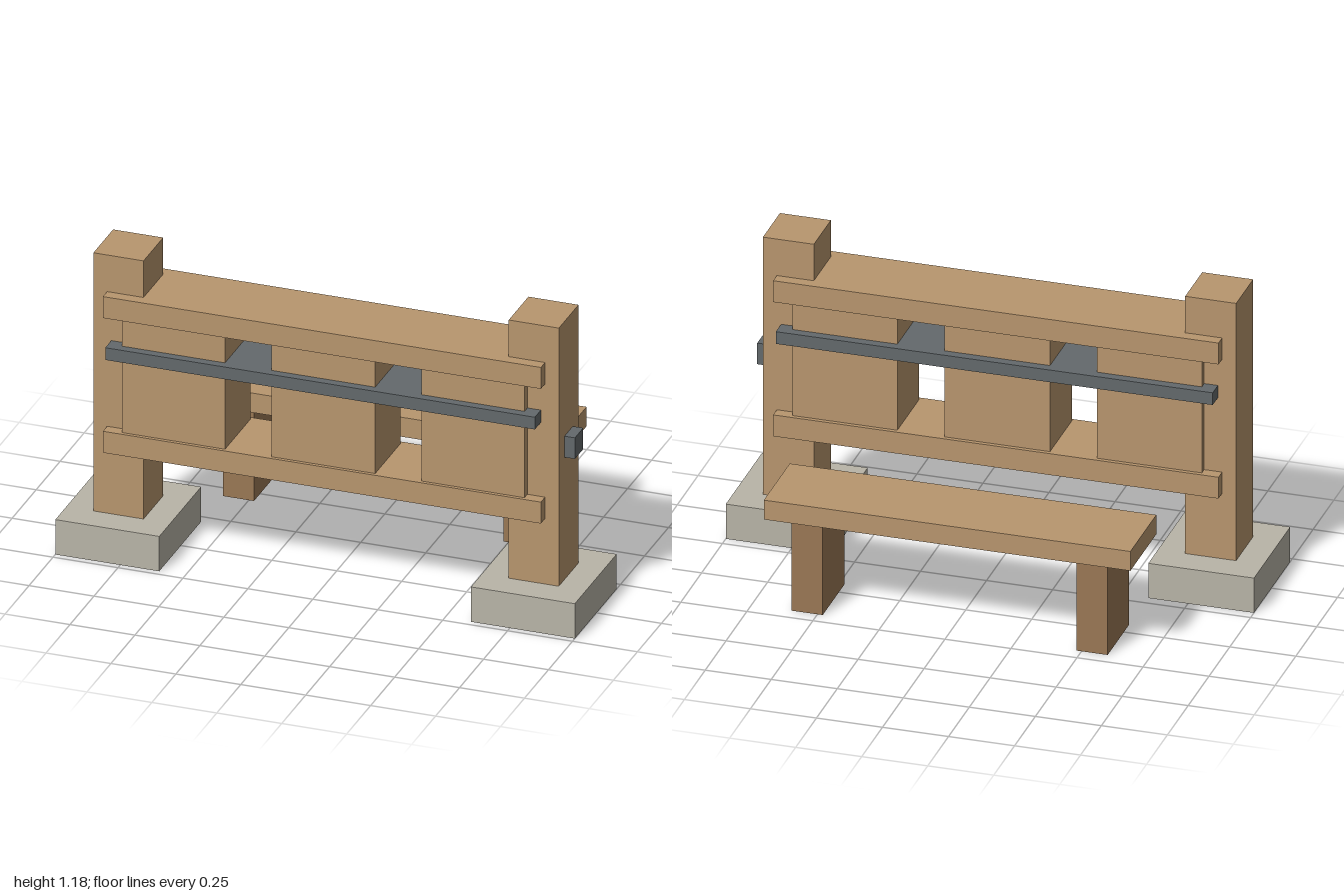
import * as THREE from 'three';

const material = (color) => new THREE.MeshStandardMaterial({ color });

export function createModel() {
  const model = new THREE.Group();
  model.name = 'stocksWithBench';

  const wood = material(0xb8966e);
  const darkWood = material(0x9a7855);
  const stone = material(0xb9b5a8);
  const iron = material(0x63696c);

  // Box given by its [min, max] extents on each axis
  const box = (name, mat, [x0, x1], [y0, y1], [z0, z1]) => {
    const mesh = new THREE.Mesh(new THREE.BoxGeometry(x1 - x0, y1 - y0, z1 - z0), mat);
    mesh.position.set((x0 + x1) / 2, (y0 + y1) / 2, (z0 + z1) / 2);
    mesh.name = name;
    model.add(mesh);
  };

  // Box repeated on both sides of x = 0
  const pair = (name, mat, [x0, x1], y, z) => {
    box(name + 'Left', mat, [x0, x1], y, z);
    box(name + 'Right', mat, [-x1, -x0], y, z);
  };

  // Stone footings and upright posts
  pair('footing', stone, [0.6, 1], [0, 0.14], [0.04, 0.476]);
  pair('post', wood, [0.703, 0.896], [0.14, 1.177], [0.156, 0.361]);

  // Horizontal rails passing around the posts
  box('lowerRail', wood, [-0.843, 0.843], [0.403, 0.489], [0.112, 0.405]);
  box('upperRail', wood, [-0.843, 0.843], [0.944, 1.03], [0.112, 0.405]);

  // Boards between the rails, leaving two openings
  const boardY = [0.489, 0.944], boardZ = [0.128, 0.391];
  pair('sideBoard', wood, [0.378, 0.775], boardY, boardZ);
  box('centreBoard', wood, [-0.2, 0.2], boardY, boardZ);

  // Iron bar across the boards and lock on the left post
  box('ironBar', iron, [-0.827, 0.827], [0.787, 0.836], [0.093, 0.424]);
  box('lock', iron, [0.89, 0.936], [0.631, 0.716], [0.215, 0.302]);

  // Bench behind
  box('benchSeat', wood, [-0.694, 0.694], [0.367, 0.445], [-0.474, -0.162]);
  pair('benchLeg', darkWood, [0.48, 0.599], [0, 0.367], [-0.445, -0.186]);

  return model;
}
